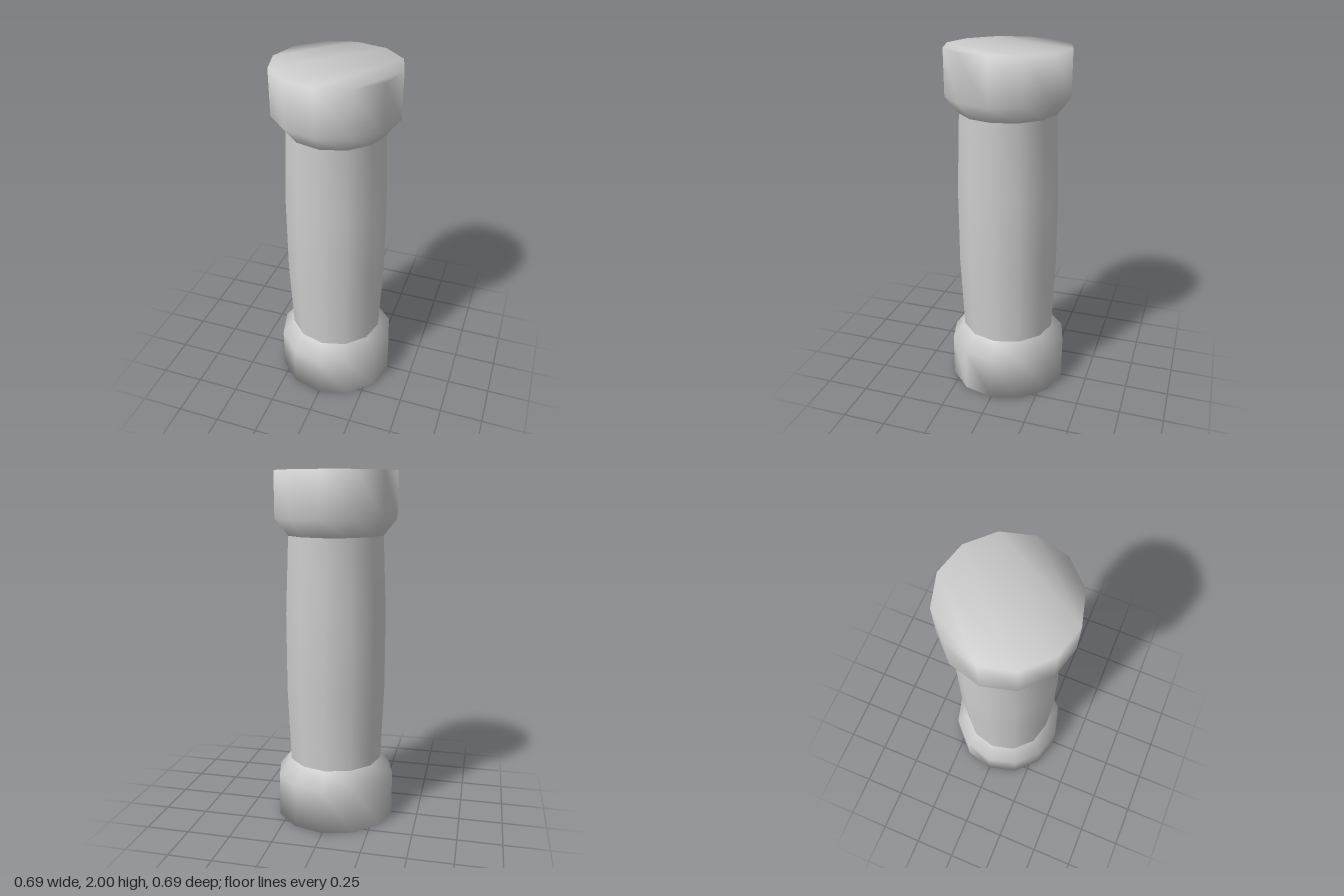
import * as THREE from 'three';

const SIDES = 12;
const material = new THREE.MeshStandardMaterial({ color: 0xcccccc });

// Smooth 12-sided loft through [radius, height] rings, listed from bottom to top.
function loft(name, rings, { capBottom = false, capTop = false } = {}) {
  const positions = [];
  const index = [];
  for (const [r, y] of rings) {
    for (let i = 0; i < SIDES; i++) {
      const a = (i / SIDES) * Math.PI * 2;
      positions.push(r * Math.cos(a), y, r * Math.sin(a));
    }
  }
  for (let k = 0; k < rings.length - 1; k++) {
    for (let i = 0; i < SIDES; i++) {
      const j = (i + 1) % SIDES;
      const low = k * SIDES, up = low + SIDES;
      index.push(low + i, up + i, up + j, low + i, up + j, low + j);
    }
  }

  // Flat ends: a zigzag strip across the ring, sharing vertices with the wall.
  const strip = [];
  for (let k = 0; k < SIDES / 2; k++) strip.push((1 - k + SIDES) % SIDES, 2 + k);
  const cap = (base, facesUp) => {
    for (let k = 0; k < SIDES - 2; k++) {
      const [a, b, c] = strip.slice(k, k + 3).map((v) => v + base);
      if ((k % 2 === 1) === facesUp) index.push(a, b, c);
      else index.push(a, c, b);
    }
  };
  if (capBottom) cap(0, false);
  if (capTop) cap((rings.length - 1) * SIDES, true);

  const geometry = new THREE.BufferGeometry();
  geometry.setAttribute('position', new THREE.Float32BufferAttribute(positions, 3));
  geometry.setIndex(index);
  geometry.computeVertexNormals();
  const mesh = new THREE.Mesh(geometry, material);
  mesh.name = name;
  return mesh;
}

export function createModel() {
  const group = new THREE.Group();
  group.name = 'column';

  // Base and its mirror image at the top
  const base = [[0.346, 0], [0.346, 0.253], [0.272, 0.347]];
  const capital = base.map(([r, y]) => [r, 2 - y]).reverse();
  group.add(loft('base', base, { capBottom: true }));
  group.add(loft('capital', capital, { capTop: true }));

  // Slightly swelling shaft
  group.add(loft('shaft', [[0.272, 0.347], [0.29, 0.78], [0.29, 1.22], [0.272, 1.653]]));

  return group;
}
